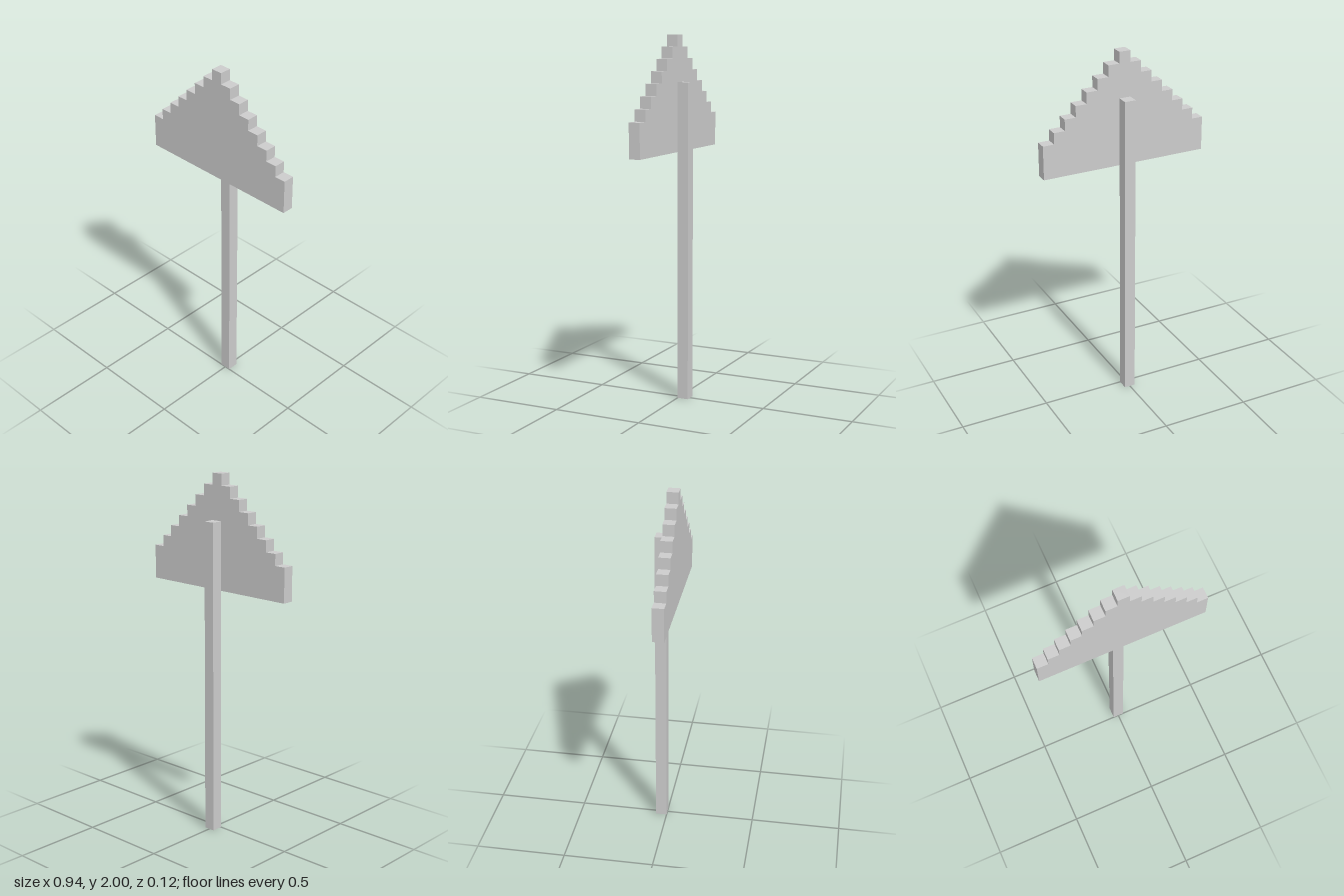
import * as THREE from 'three';

const U = 1 / 16; // step size shared by every part
const material = new THREE.MeshStandardMaterial({ color: 0xcccccc, flatShading: true });

// Stepped gable outline: straight base, then one step in and up per level
function steppedOutline(base, eave, peak) {
  const steps = peak - eave;
  const right = [];
  for (let i = 0; i <= steps; i++) {
    const halfWidth = steps - i + 0.5;
    right.push([halfWidth, i === 0 ? base : eave + i - 1], [halfWidth, eave + i]);
  }
  const left = right.map(([x, y]) => [-x, y]).reverse();
  return new THREE.Shape([...right, ...left].map(([x, y]) => new THREE.Vector2(x * U, y * U)));
}

export function createModel() {
  const group = new THREE.Group();
  group.name = 'steppedSign';

  // Sign board, in front of the post
  const board = new THREE.Mesh(
    new THREE.ExtrudeGeometry(steppedOutline(22, 25, 32), { depth: U, bevelEnabled: false }),
    material
  );
  board.name = 'signBoard';
  group.add(board);

  // Square post, running up behind the board
  const postHeight = 28 * U;
  const post = new THREE.Mesh(new THREE.BoxGeometry(U, postHeight, U), material);
  post.name = 'post';
  post.position.set(0, postHeight / 2, -U / 2);
  group.add(post);

  return group;
}
